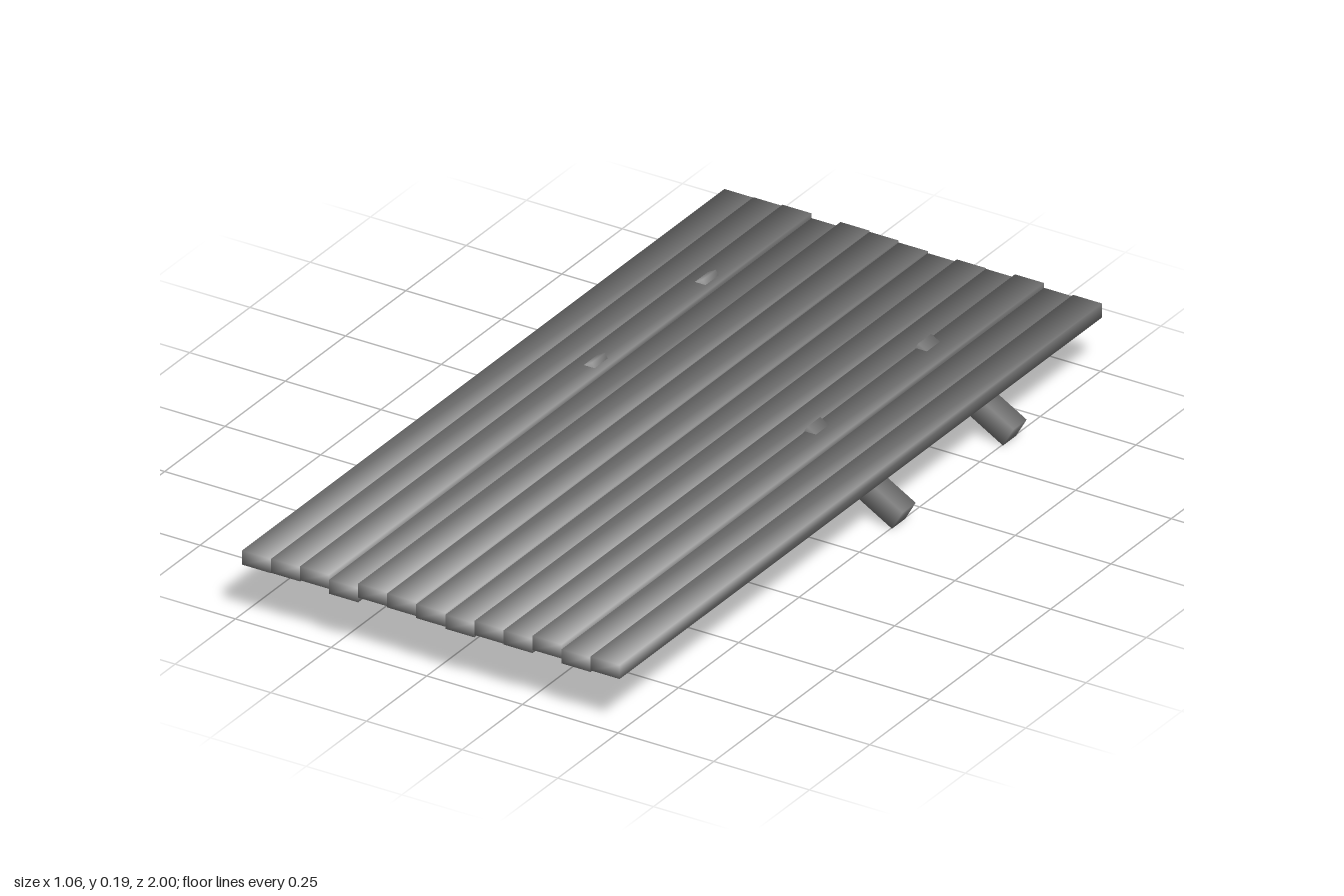
import * as THREE from 'three';

export function createModel() {
  const model = new THREE.Group();
  model.name = 'plankPlatform';
  const wood = new THREE.MeshStandardMaterial({ color: 0x848484 });

  // Box with softly shaded edges: each corner normal points diagonally outward
  function softBox(name, w, h, d, x, y, z) {
    const geometry = new THREE.BoxGeometry(w, h, d);
    const { position, normal } = geometry.attributes;
    const n = new THREE.Vector3();
    for (let i = 0; i < position.count; i++) {
      n.fromBufferAttribute(position, i).divide(new THREE.Vector3(w, h, d)).normalize();
      normal.setXYZ(i, n.x, n.y, n.z);
    }
    const mesh = new THREE.Mesh(geometry, wood);
    mesh.name = name;
    mesh.position.set(x, y, z);
    model.add(mesh);
    return mesh;
  }

  // Long planks side by side, each at a slightly different height
  const plankTops = [0.176, 0.177, 0.18, 0.168, 0.18, 0.177, 0.172, 0.167, 0.173, 0.171, 0.179, 0.167, 0.171];
  const left = -0.483, right = 0.504, thickness = 0.035;
  const width = (right - left) / plankTops.length;
  plankTops.forEach((top, i) => {
    softBox('plank' + (i + 1), width, thickness, 2, left + width * (i + 0.5), top - thickness / 2, 0);
  });

  // Two pairs of slanted braces whose upper ends poke through the planks
  for (const z of [-0.158, -0.618]) {
    for (const side of [-1, 1]) {
      const name = (side > 0 ? 'left' : 'right') + (z > -0.4 ? 'Middle' : 'Back') + 'Brace';
      const brace = softBox(name, 0.288, 0.056, 0.054, side * 0.392, 0.096, z);
      brace.rotation.z = -side * Math.PI / 6;
    }
  }
  return model;
}
